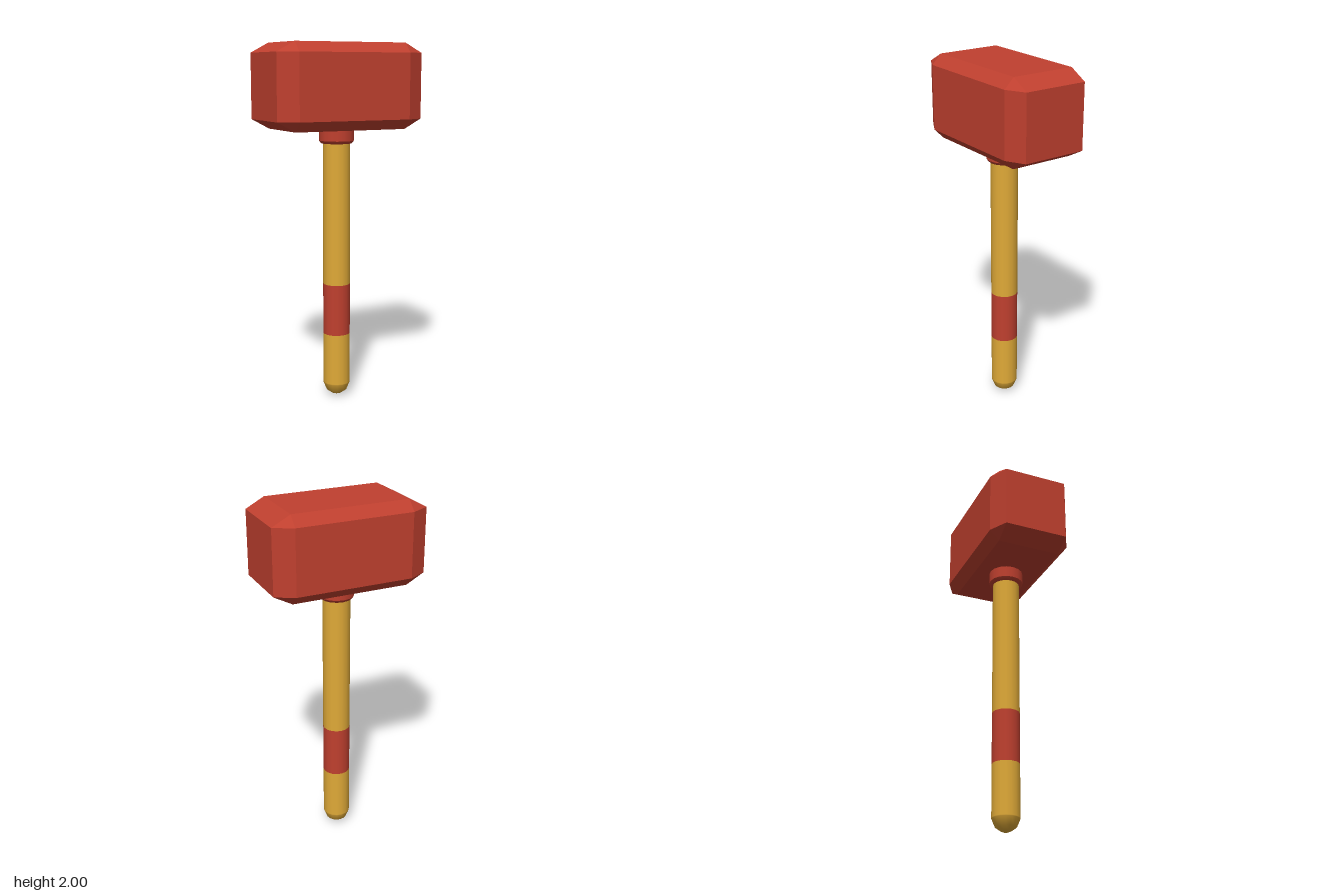
import * as THREE from 'three';
import { ConvexGeometry } from 'three/addons/geometries/ConvexGeometry.js';

export function createModel() {
  const group = new THREE.Group();
  const red = new THREE.MeshStandardMaterial({ color: 0xc0402f });
  red.name = 'red';
  const gold = new THREE.MeshStandardMaterial({ color: 0xe0aa38 });
  gold.name = 'gold';

  const add = (name, geometry, material) => {
    const mesh = new THREE.Mesh(geometry, material);
    mesh.name = name;
    group.add(mesh);
  };
  // Round parts, profile given as [radius, y] from the bottom up
  const turned = (profile) =>
    new THREE.LatheGeometry(profile.map(([r, y]) => new THREE.Vector2(r, y)), 16);

  // Chamfered head: each corner is cut into a triangle
  const outer = [0.43, 0.235, 0.235];
  const inner = [0.327, 0.18, 0.18];
  const corners = [];
  for (const sx of [-1, 1]) for (const sy of [-1, 1]) for (const sz of [-1, 1]) {
    for (let axis = 0; axis < 3; axis++) {
      const [x, y, z] = inner.map((v, i) => (i === axis ? outer[i] : v));
      corners.push(new THREE.Vector3(sx * x, 1.767 + sy * y * 0.992, sz * z));
    }
  }
  add('head', new ConvexGeometry(corners), red);

  // Collar under the head
  add('collar', turned([[0.07, 1.455], [0.086, 1.455], [0.097, 1.47], [0.097, 1.47], [0.097, 1.54]]), red);

  // Handle with a rounded tip and a flush grip band
  add('handleTip', turned([[0, 0], [0.03, 0.012], [0.058, 0.032], [0.076, 0.075], [0.076, 0.08], [0.076, 0.37]]), gold);
  add('gripBand', turned([[0.076, 0.37], [0.076, 0.66]]), red);
  add('handle', turned([[0.076, 0.66], [0.076, 1.54]]), gold);

  return group;
}
